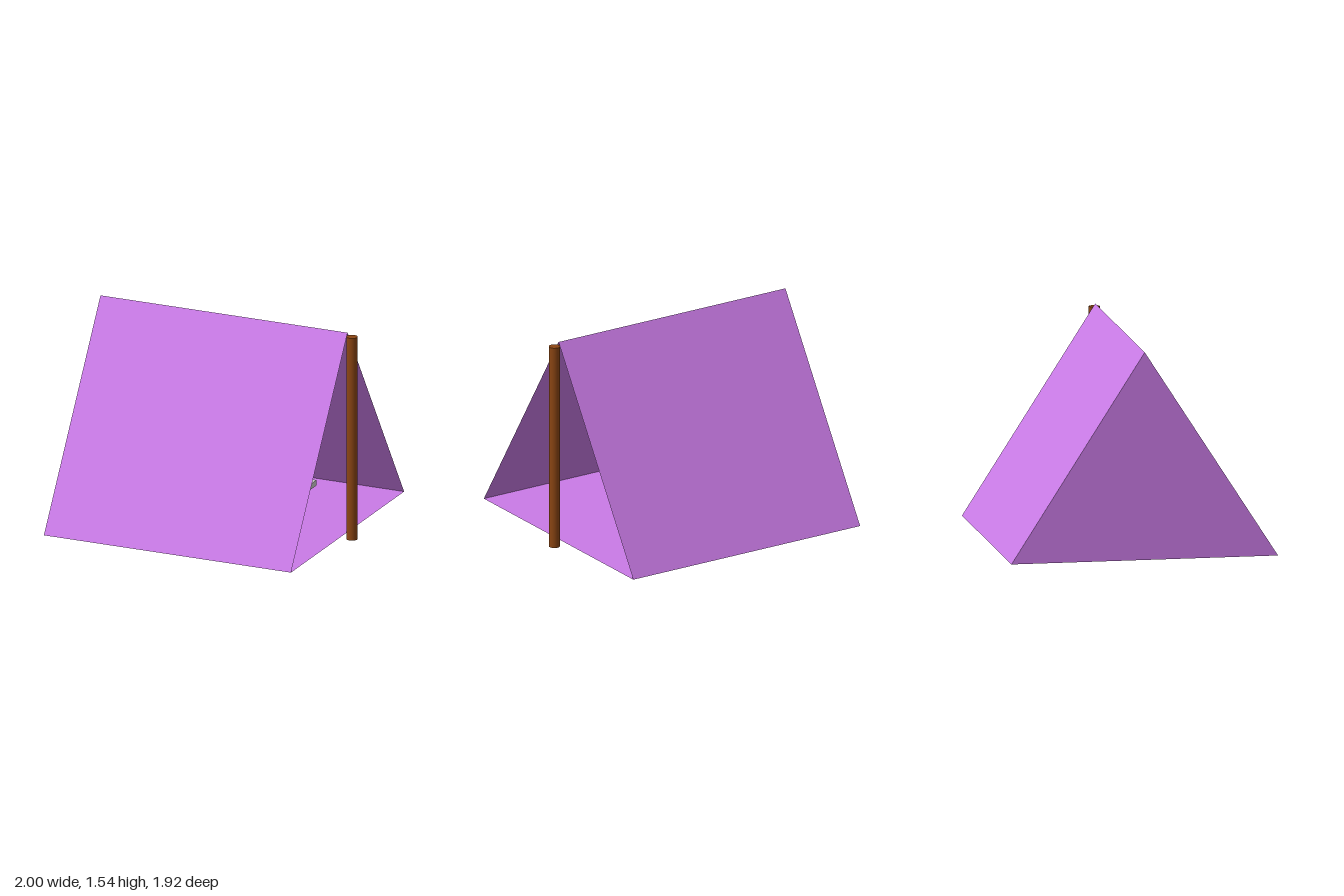
import * as THREE from 'three';

const LEFT = -1, RIGHT = 0.925;        // closed end, open end
const FLOOR = 0.045, RIDGE = 1.54, HALF = 0.96;

const material = (color, side = THREE.FrontSide) =>
  new THREE.MeshStandardMaterial({ color, side });

// Flat panel from corners listed anticlockwise as seen from outside
function panel(name, corners, mat) {
  const points = [];
  for (let i = 1; i < corners.length - 1; i++) {
    points.push(...corners[0], ...corners[i], ...corners[i + 1]);
  }
  const geometry = new THREE.BufferGeometry();
  geometry.setAttribute('position', new THREE.Float32BufferAttribute(points, 3));
  geometry.computeVertexNormals();
  const mesh = new THREE.Mesh(geometry, mat);
  mesh.name = name;
  return mesh;
}

// Box given by its lower and upper corners
function slab(name, min, max, color) {
  const size = max.map((v, i) => v - min[i]);
  const mesh = new THREE.Mesh(new THREE.BoxGeometry(...size), material(color));
  mesh.position.set(...max.map((v, i) => (v + min[i]) / 2));
  mesh.name = name;
  return mesh;
}

export function createModel() {
  const model = new THREE.Group();
  model.name = 'tent';

  // Cloth: two slopes, a floor and a closed end; the other end is open
  const cloth = material(0xca7be7, THREE.DoubleSide);
  const section = x => [[x, FLOOR, HALF], [x, RIDGE, 0], [x, FLOOR, -HALF]];
  const [frontL, ridgeL, backL] = section(LEFT);
  const [frontR, ridgeR, backR] = section(RIGHT);
  const canvas = new THREE.Group();
  canvas.name = 'canvas';
  canvas.add(
    panel('frontSlope', [frontL, frontR, ridgeR, ridgeL], cloth),
    panel('backSlope', [backR, backL, ridgeL, ridgeR], cloth),
    panel('groundSheet', [backL, backR, frontR, frontL], cloth),
    panel('closedEnd', [backL, frontL, ridgeL], cloth),
  );
  model.add(canvas);

  // Pole standing at the open end
  const pole = new THREE.Mesh(new THREE.CylinderGeometry(0.04, 0.04, 1.515, 32), material(0x8b4513));
  pole.position.set(0.96, 1.515 / 2, 0);
  pole.name = 'pole';
  model.add(pole);

  // Bedding inside
  model.add(
    slab('sleepingMat', [-0.34, 0.04, -0.45], [0.205, 0.1, 0.445], 0xffb6c1),
    slab('pillow', [-0.07, 0.065, -0.77], [0.33, 0.105, -0.52], 0xcccccc),
  );

  return model;
}
